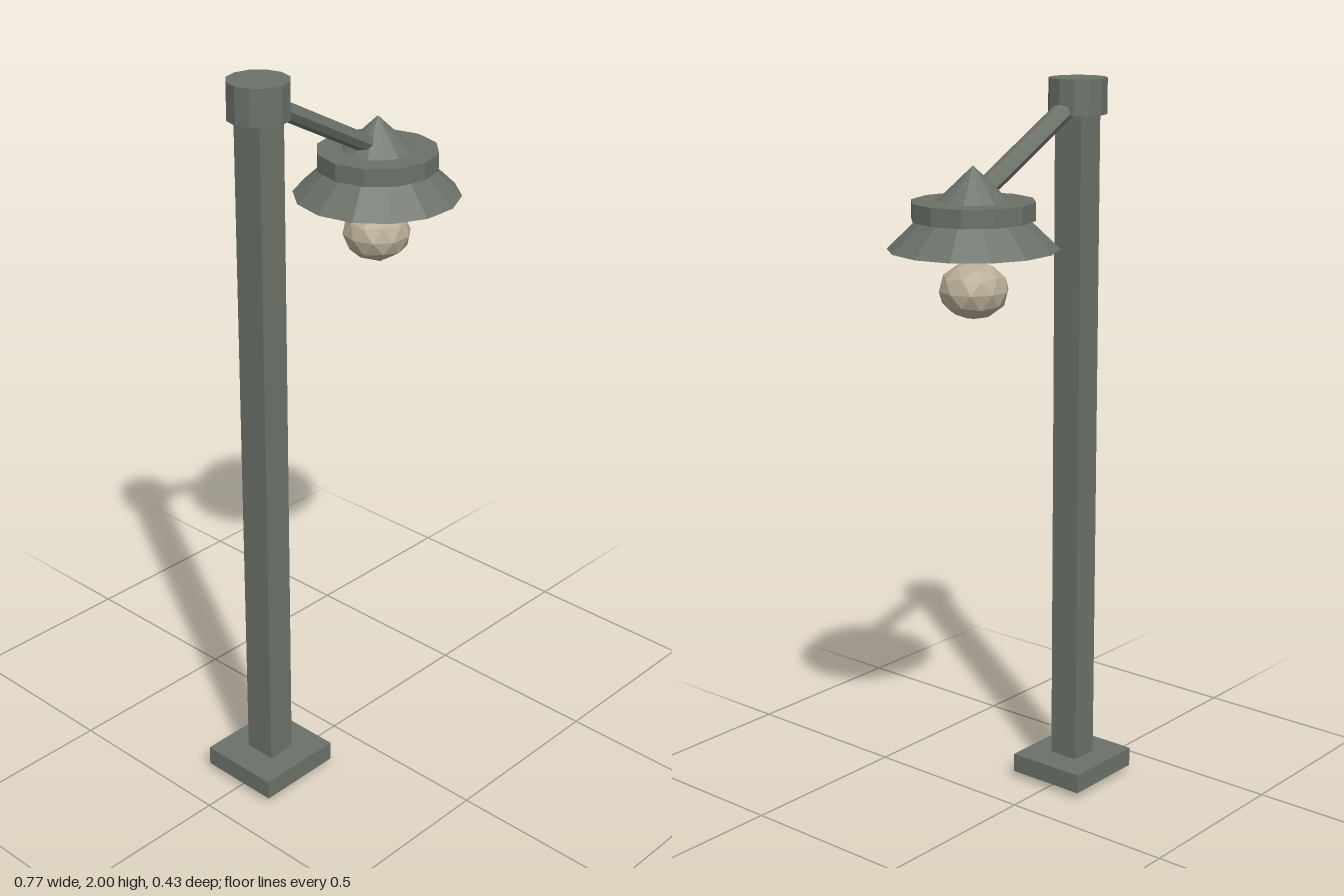
import * as THREE from 'three';

export function createModel() {
  const group = new THREE.Group();
  group.name = 'streetLamp';

  const metal = new THREE.MeshStandardMaterial({ color: 0x6b7169, flatShading: true });
  metal.name = 'grey metal';
  const glass = new THREE.MeshStandardMaterial({ color: 0xb8ad96, flatShading: true });
  glass.name = 'bulb glass';

  const POST_X = -0.262;
  const LAMP_X = 0.162;

  function add(name, geometry, material, x, y) {
    const mesh = new THREE.Mesh(geometry, material);
    mesh.name = name;
    mesh.position.set(x, y, 0);
    group.add(mesh);
    return mesh;
  }

  // Square post standing through a base plate, with a round cap
  add('post', new THREE.BoxGeometry(0.082, 1.95, 0.088), metal, POST_X, 0.975);
  add('basePlate', new THREE.BoxGeometry(0.247, 0.054, 0.232), metal, POST_X, 0.047);
  add('postCap', new THREE.CylinderGeometry(0.079, 0.079, 0.095, 12), metal, POST_X, 1.9525);

  // Slanted arm: a slightly flattened octagonal rod
  const start = new THREE.Vector2(-0.23, 1.932);
  const end = new THREE.Vector2(0.116, 1.747);
  const dir = end.clone().sub(start);
  const rod = new THREE.CylinderGeometry(1, 1, dir.length(), 8);
  rod.scale(0.024, 1, 0.032);
  rod.rotateZ(dir.angle() - Math.PI / 2);
  const mid = start.clone().add(end).multiplyScalar(0.5);
  add('arm', rod, metal, mid.x, mid.y);

  // Closed cone shade with a collar around it
  const cone = new THREE.ConeGeometry(0.22, 0.21, 14);
  cone.rotateY(Math.PI / 2);
  add('shade', cone, metal, LAMP_X, 1.705);
  add('shadeCollar', new THREE.CylinderGeometry(0.16, 0.16, 0.047, 12), metal, LAMP_X, 1.698);

  // Faceted bulb with a corner at each pole, squashed vertically
  const ball = new THREE.IcosahedronGeometry(0.091, 1);
  ball.rotateX(-Math.atan((1 + Math.sqrt(5)) / 2));
  ball.scale(1, 0.82, 1);
  add('bulb', ball, glass, LAMP_X, 1.494);

  return group;
}
